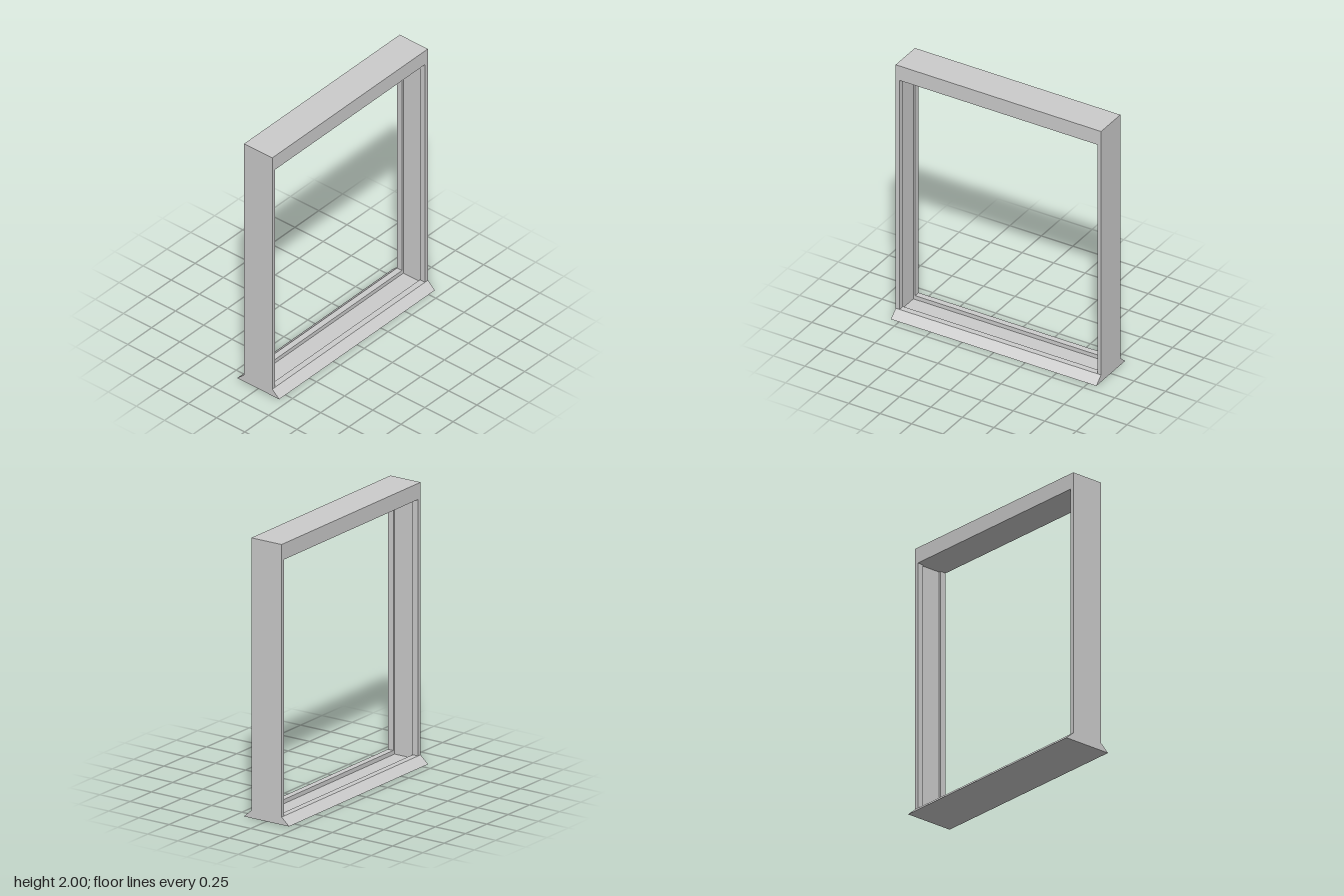
import * as THREE from 'three';

const HALF_LEN = 0.815; // half length along z
const HALF_W = 0.125;   // half width of the frame section
const FOOT = 0.187;     // half width of the splayed foot
const SILL = 0.055;     // top of the sill
const HEAD = 1.885;     // underside of the header
const GROOVE = 0.08;    // half width of the groove
const INNER = 0.785;    // inner faces of the posts
const BACK = 0.80;      // groove floor in the posts

const material = new THREE.MeshStandardMaterial({ color: 0xcccccc, flatShading: true });

function extrude(name, points, depth) {
  const shape = new THREE.Shape(points.map(([x, y]) => new THREE.Vector2(x, y)));
  const geometry = new THREE.ExtrudeGeometry(shape, { depth, bevelEnabled: false });
  const mesh = new THREE.Mesh(geometry, material);
  mesh.name = name;
  return mesh;
}

export function createModel() {
  const group = new THREE.Group();
  group.name = 'openingFrame';

  // Sill with splayed foot and a groove along its top
  const floor = SILL - 0.03;
  const sill = extrude('sill', [
    [-FOOT, 0], [FOOT, 0], [HALF_W, SILL], [GROOVE, SILL],
    [GROOVE, floor], [-GROOVE, floor], [-GROOVE, SILL], [-HALF_W, SILL],
  ], BACK * 2);
  sill.position.z = -BACK;
  group.add(sill);

  for (const side of [-1, 1]) {
    // Solid end closing the sill groove
    const end = extrude('sillEnd', [[-FOOT, 0], [FOOT, 0], [HALF_W, SILL], [-HALF_W, SILL]], HALF_LEN - BACK);
    end.position.z = side < 0 ? -HALF_LEN : BACK;
    group.add(end);

    // Channel-section post, groove facing the opening
    const post = extrude(side < 0 ? 'backPost' : 'frontPost', [
      [-HALF_W, INNER], [-GROOVE, INNER], [-GROOVE, BACK], [GROOVE, BACK],
      [GROOVE, INNER], [HALF_W, INNER], [HALF_W, HALF_LEN], [-HALF_W, HALF_LEN],
    ], HEAD - SILL);
    post.geometry.rotateX(-Math.PI / 2);
    if (side > 0) post.geometry.rotateY(Math.PI);
    post.position.y = SILL;
    group.add(post);
  }

  // Plain header across the top
  const header = new THREE.Mesh(new THREE.BoxGeometry(HALF_W * 2, 2 - HEAD, HALF_LEN * 2), material);
  header.name = 'header';
  header.position.y = (2 + HEAD) / 2;
  group.add(header);

  return group;
}
